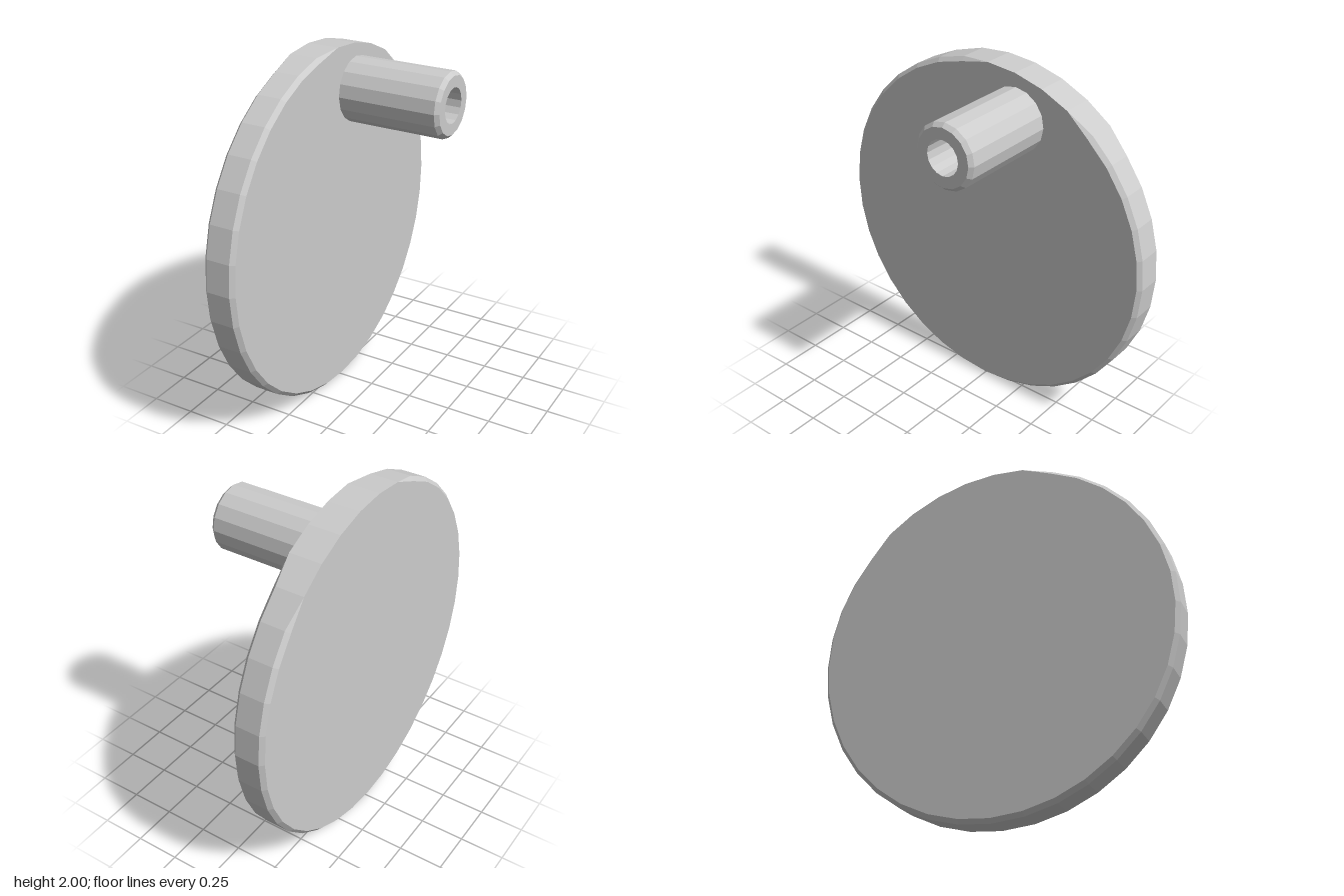
import * as THREE from 'three';

const material = () => new THREE.MeshStandardMaterial({ color: 0xcccccc, flatShading: true });

// Disc lying across the x axis; its chamfers fade out along the rim beside the pin.
function discGeometry(back, front, chamfer, sides) {
  const step = 360 / sides;
  const rings = a => {
    const f = a > -35 && a < 5 ? 0 : chamfer;   // front chamfer gap
    const b = a > -45 && a < 15 ? 0 : chamfer;  // back chamfer gap
    return [[back, 0], [back, 1 - b], [back + b, 1], [front - f, 1], [front, 1 - f], [front, 0]];
  };
  const point = (i, j) => {
    const a = -180 + (j % sides) * step;
    const [x, r] = rings(a)[i];
    const t = THREE.MathUtils.degToRad(a);
    return [x, 1 + r * Math.cos(t), r * Math.sin(t)];
  };
  const pos = [];
  for (let j = 0; j < sides; j++) {
    for (let i = 0; i < 5; i++) {
      const p = point(i, j), q = point(i, j + 1), r = point(i + 1, j + 1), s = point(i + 1, j);
      if (i > 0) pos.push(...p, ...q, ...r);
      if (i < 4) pos.push(...p, ...r, ...s);
      if (i === 0) pos.push(...p, ...r, ...s);
    }
  }
  const g = new THREE.BufferGeometry();
  g.setAttribute('position', new THREE.Float32BufferAttribute(pos, 3));
  g.computeVertexNormals();
  return g;
}

export function createModel() {
  const model = new THREE.Group();

  const disc = new THREE.Mesh(discGeometry(-0.38, -0.2, 0.022, 36), material());
  disc.name = 'crankDisc';
  model.add(disc);

  // Off-centre pin with a chamfered end and a blind drilled hole
  const profile = [
    [0.18, -0.2], [0.18, 0.358], [0.16, 0.38],
    [0.097, 0.38], [0.097, -0.1], [0, -0.15],
  ].map(([r, h]) => new THREE.Vector2(r, h));
  const pinGeometry = new THREE.LatheGeometry(profile, 16);
  pinGeometry.rotateZ(-Math.PI / 2);
  const pin = new THREE.Mesh(pinGeometry, material());
  pin.name = 'crankPin';
  pin.position.set(0, 1.73, -0.182);
  model.add(pin);

  return model;
}
